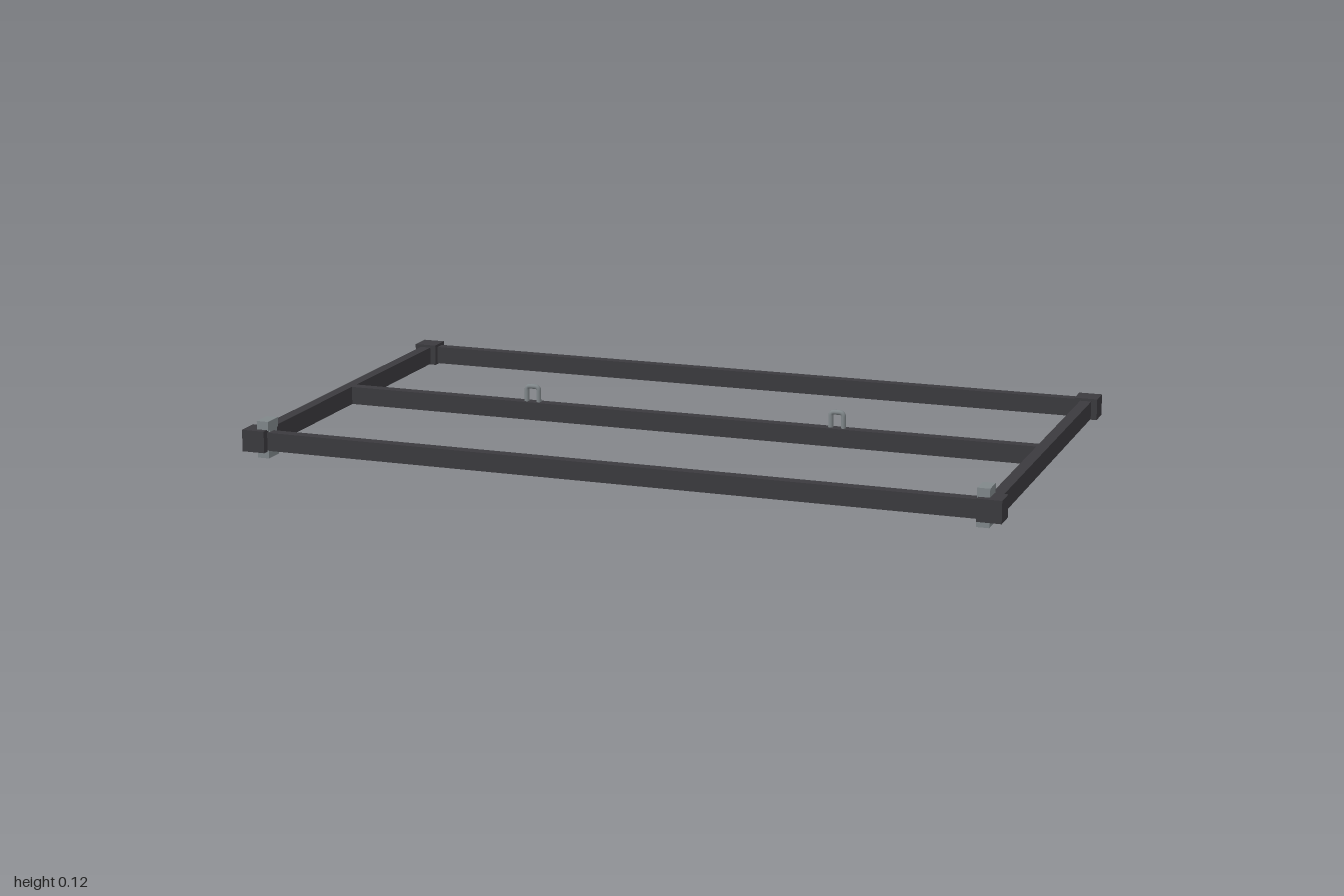
import * as THREE from 'three';

export function createModel() {
  const model = new THREE.Group();
  const frameMat = new THREE.MeshStandardMaterial({ color: 0x3b3a3e });
  frameMat.name = 'charcoal';
  const metalMat = new THREE.MeshStandardMaterial({ color: 0x80878a });
  metalMat.name = 'steel grey';

  // Box given by its limits on each axis
  function box(name, mat, x0, x1, y0, y1, z0, z1, parent = model) {
    const mesh = new THREE.Mesh(new THREE.BoxGeometry(x1 - x0, y1 - y0, z1 - z0), mat);
    mesh.position.set((x0 + x1) / 2, (y0 + y1) / 2, (z0 + z1) / 2);
    mesh.name = name;
    parent.add(mesh);
  }

  // Long rails: back, middle, front
  for (const [name, z] of [['backRail', -0.531], ['middleRail', 0], ['frontRail', 0.529]]) {
    box(name, frameMat, -0.956, 0.956, 0.02, 0.068, z - 0.015, z + 0.015);
  }

  for (const side of [-1, 1]) {
    const label = side > 0 ? 'left' : 'right';
    const cx = side * 0.969;

    // Side rail and its two corner blocks
    box(label + 'Rail', frameMat, cx - 0.015, cx + 0.015, 0.02, 0.068, -0.52, 0.52);
    for (const end of [-1, 1]) {
      const cz = end * 0.532;
      box(label + (end > 0 ? 'Front' : 'Back') + 'Corner', frameMat,
        cx - 0.031, cx + 0.031, 0.018, 0.075, cz - 0.031, cz + 0.031);
    }

    // Clip wrapped over and under the front corner, with a web on the inside
    const clip = new THREE.Group();
    clip.name = label + 'Clip';
    const px = side * 0.95;
    box('clipTop', metalMat, px - 0.016, px + 0.016, 0.073, 0.097, 0.49, 0.545, clip);
    box('clipBottom', metalMat, px - 0.016, px + 0.016, 0, 0.021, 0.49, 0.545, clip);
    box('clipWeb', metalMat, px - 0.016, px + 0.016, 0.02, 0.075, 0.496, 0.535, clip);
    model.add(clip);

    // Upright loop on the middle rail: a rounded arch
    const path = new THREE.CurvePath();
    const v = (x, y) => new THREE.Vector3(x, y, 0);
    const w = 0.017, top = 0.109, r = 0.01;
    path.add(new THREE.LineCurve3(v(-w, 0.06), v(-w, top - r)));
    path.add(new THREE.QuadraticBezierCurve3(v(-w, top - r), v(-w, top), v(r - w, top)));
    path.add(new THREE.LineCurve3(v(r - w, top), v(w - r, top)));
    path.add(new THREE.QuadraticBezierCurve3(v(w - r, top), v(w, top), v(w, top - r)));
    path.add(new THREE.LineCurve3(v(w, top - r), v(w, 0.06)));
    const loop = new THREE.Mesh(new THREE.TubeGeometry(path, 40, 0.0065, 10), metalMat);
    loop.position.x = side * 0.425;
    loop.name = label + 'Loop';
    model.add(loop);
  }
  return model;
}
